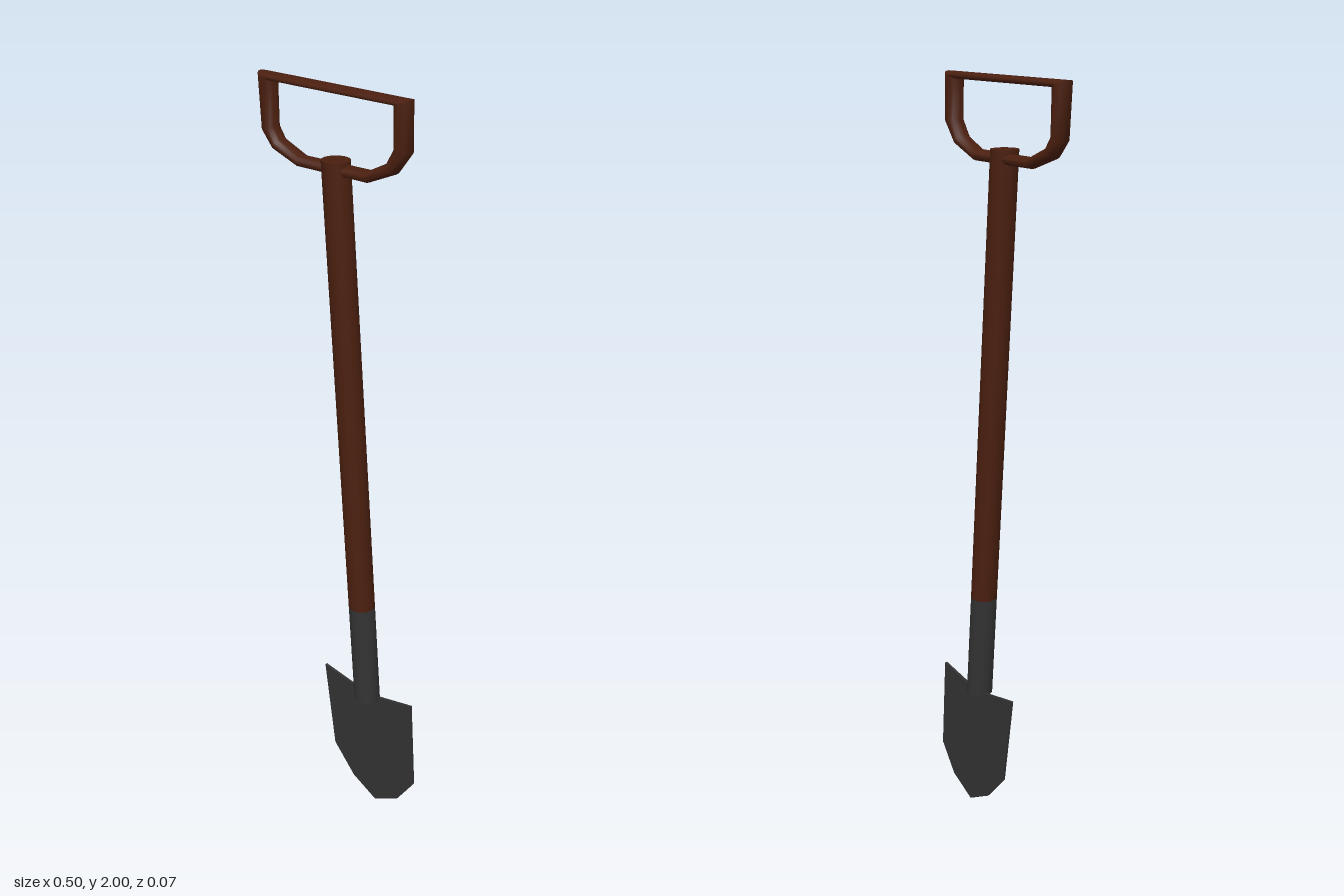
import * as THREE from 'three';
import { toCreasedNormals } from 'three/addons/utils/BufferGeometryUtils.js';

const wood = new THREE.MeshStandardMaterial({ color: 0x4a1f0f });
const iron = new THREE.MeshStandardMaterial({ color: 0x333333 });

function part(name, geometry, material) {
  const mesh = new THREE.Mesh(geometry, material);
  mesh.name = name;
  return mesh;
}

// Leaning pole section: a cylinder sheared sideways so its ends stay level
const poleX = (y) => -0.02 + 0.11 * (1.83 - y) / 1.48;
function pole(y0, y1) {
  const g = new THREE.CylinderGeometry(0.035, 0.035, y1 - y0, 16);
  g.translate(0, (y0 + y1) / 2, 0);
  const p = g.attributes.position;
  for (let i = 0; i < p.count; i++) p.setX(i, p.getX(i) + poleX(p.getY(i)));
  g.computeVertexNormals();
  return toCreasedNormals(g, 0.7);
}

// D-shaped grip: closed loop of elliptical rings spanning outer to inner edge
function gripGeometry() {
  const stations = [ // outer x, y, inner x, y
    [-0.254, 2.0, -0.205, 1.982],
    [-0.244, 1.865, -0.204, 1.875],
    [-0.209, 1.823, -0.188, 1.849],
    [-0.13, 1.794, -0.124, 1.82],
    [0.077, 1.794, 0.077, 1.822],
    [0.156, 1.828, 0.13, 1.849],
    [0.196, 1.881, 0.151, 1.886],
    [0.194, 2.0, 0.148, 1.982],
  ];
  const sides = 16, n = stations.length, positions = [], index = [];
  stations.forEach(([ox, oy, ix, iy], i) => {
    const cx = (ox + ix) / 2, cy = (oy + iy) / 2;
    for (let j = 0; j < sides; j++) {
      const a = (j / sides) * Math.PI * 2, c = Math.cos(a);
      positions.push(cx + c * (ox - ix) / 2, cy + c * (oy - iy) / 2,
        0.023 * Math.sin(a) - 0.004 - 0.01 * cx);
      const k = (j + 1) % sides, next = ((i + 1) % n) * sides, here = i * sides;
      index.push(here + j, next + j, here + k, next + j, next + k, here + k);
    }
  });
  const g = new THREE.BufferGeometry();
  g.setAttribute('position', new THREE.Float32BufferAttribute(positions, 3));
  g.setIndex(index);
  return toCreasedNormals(g, 0.75);
}

// Thin pointed blade with a shallow V along its top edge
function bladeGeometry() {
  const outline = [
    [-0.066, 0.383], [-0.03, 0.128], [0.04, 0.045], [0.119, 0],
    [0.198, 0.045], [0.251, 0.124], [0.235, 0.383], [0.09, 0.353],
  ].map(([x, y]) => new THREE.Vector2(x, y));
  const g = new THREE.ExtrudeGeometry(new THREE.Shape(outline), { depth: 0.007, bevelEnabled: false });
  return g.translate(0, 0, -0.012);
}

export function createModel() {
  const shovel = new THREE.Group();
  shovel.name = 'shovel';
  shovel.add(
    part('grip', gripGeometry(), wood),
    part('shaft', pole(0.64, 1.83), wood),
    part('socket', pole(0.35, 0.64), iron),
    part('blade', bladeGeometry(), iron),
  );
  return shovel;
}
